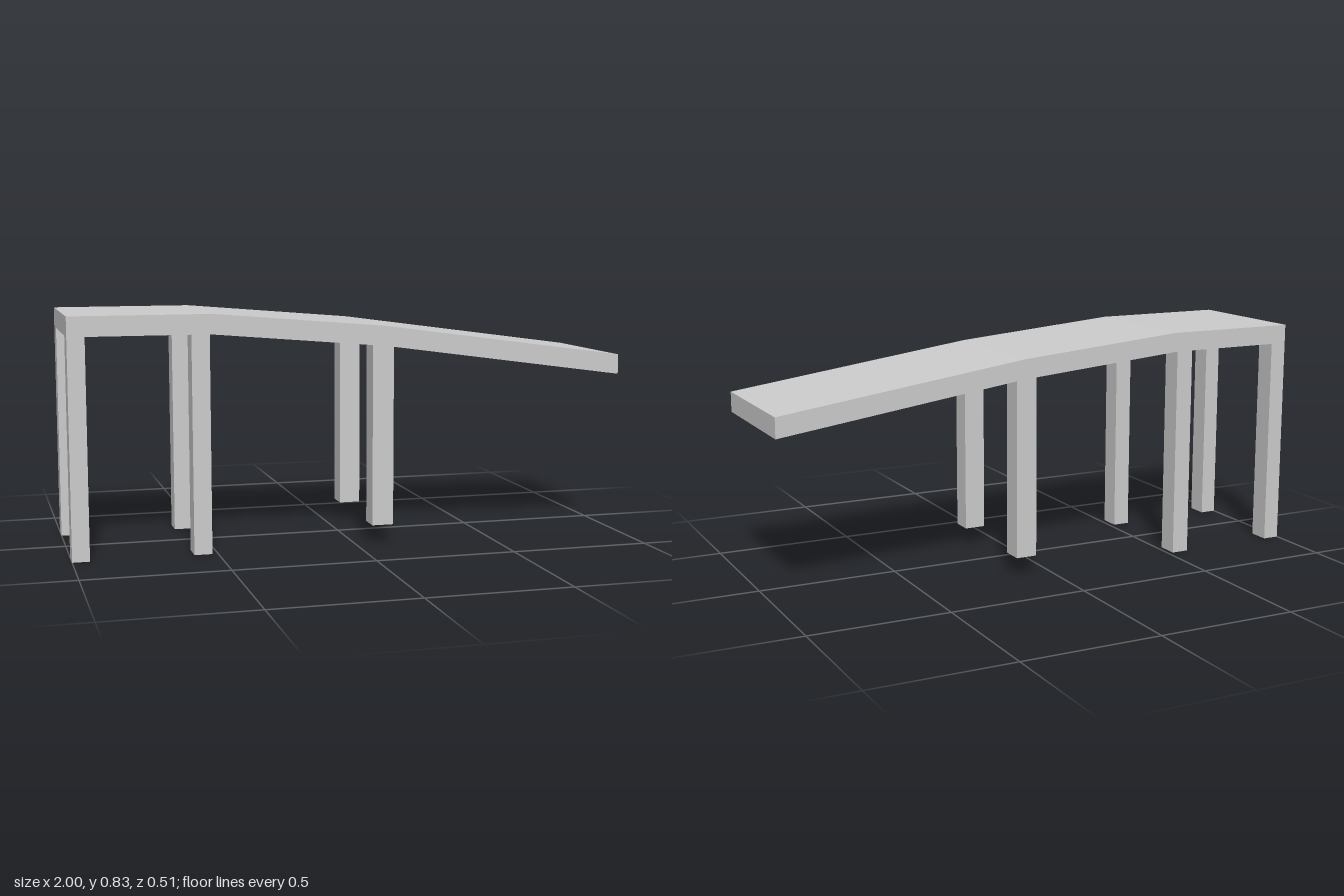
import * as THREE from 'three';

const HALF_WIDTH = 0.255;
const LEG_DEPTH = 0.078;

// Extrudes a side outline (x, y) along z, from z0 over the given depth
function slab(name, points, z0, depth, material) {
  const shape = new THREE.Shape(points.map(([x, y]) => new THREE.Vector2(x, y)));
  const geometry = new THREE.ExtrudeGeometry(shape, { depth, bevelEnabled: false });
  geometry.translate(0, 0, z0);
  const mesh = new THREE.Mesh(geometry, material);
  mesh.name = name;
  return mesh;
}

export function createModel() {
  const model = new THREE.Group();
  model.name = 'slopingPier';
  const material = new THREE.MeshStandardMaterial({ color: 0xcccccc, flatShading: true });

  // Deck: level at one end, then sloping down in two steps
  const deck = [
    [-1, 0.762], [-0.52, 0.762], [0.058, 0.712], [0.135, 0.704], [1, 0.584],
    [1, 0.656], [0.1, 0.779], [-0.51, 0.831], [-1, 0.831],
  ];
  model.add(slab('deck', deck, -HALF_WIDTH, 2 * HALF_WIDTH, material));

  // Leg pairs: x range, foot height, and height of the deck underside at each edge
  const legs = [
    { name: 'endLeg', x0: -1, x1: -0.94, foot: 0, top0: 0.762, top1: 0.762 },
    { name: 'middleLeg', x0: -0.583, x1: -0.52, foot: 0, top0: 0.762, top1: 0.762 },
    { name: 'slopeLeg', x0: 0.058, x1: 0.135, foot: 0.068, top0: 0.712, top1: 0.704 },
  ];
  for (const { name, x0, x1, foot, top0, top1 } of legs) {
    const outline = [[x0, foot], [x1, foot], [x1, top1], [x0, top0]];
    model.add(slab(name + 'Front', outline, HALF_WIDTH - LEG_DEPTH, LEG_DEPTH, material));
    model.add(slab(name + 'Back', outline, -HALF_WIDTH, LEG_DEPTH, material));
  }
  return model;
}
